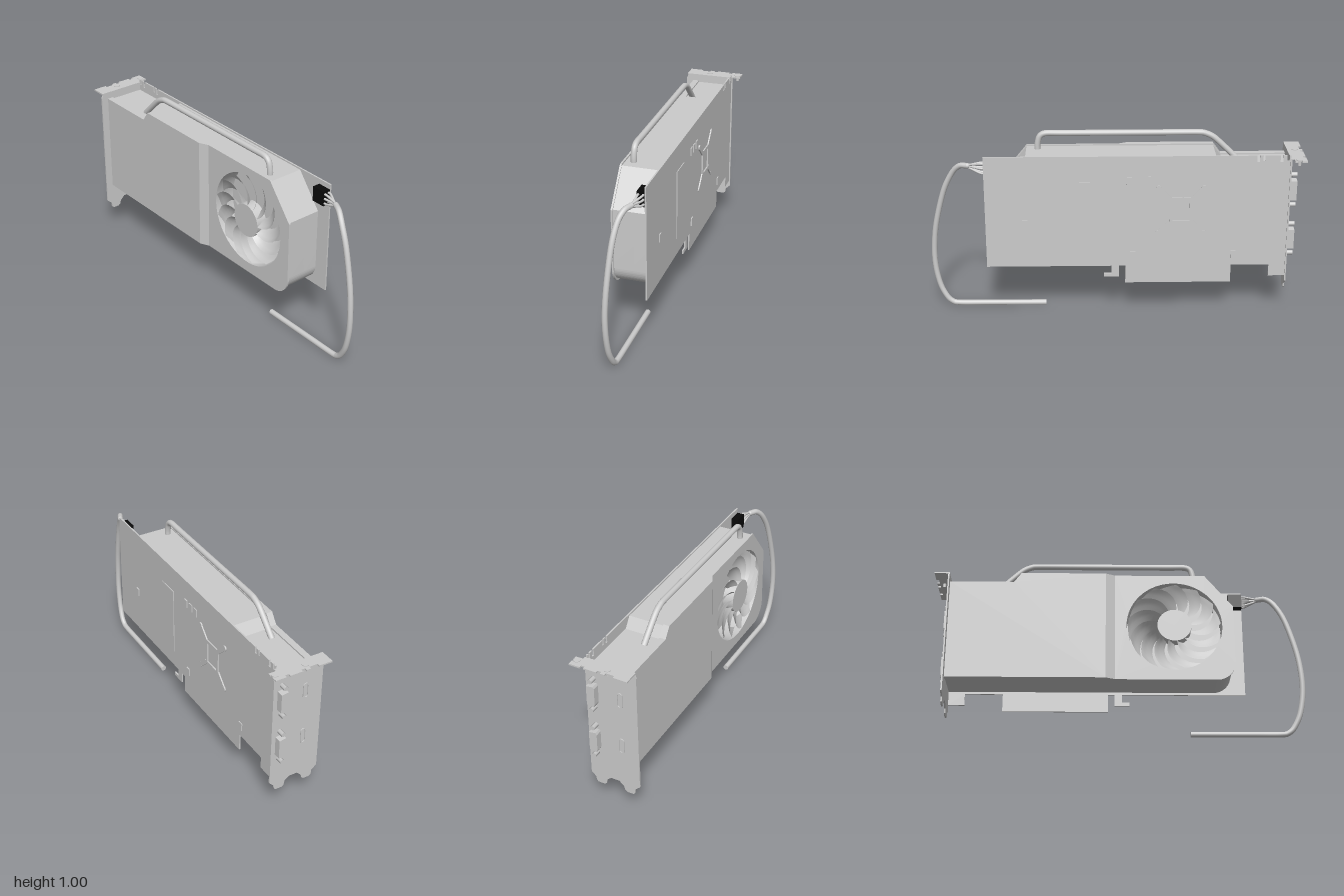
import * as THREE from 'three';
import { toCreasedNormals } from 'three/addons/utils/BufferGeometryUtils.js';

const GREY = new THREE.MeshStandardMaterial({ color: 0xcccccc });
const THIN = new THREE.MeshStandardMaterial({ color: 0xcccccc, side: THREE.DoubleSide });
const BLACK = new THREE.MeshStandardMaterial({ color: 0x0a0a0a });
const FAN = { y: 0.6, z: 0.3, r: 0.258 };

export function createModel() {
  const root = new THREE.Group();

  const add = (name, geometry, material = GREY, parent = root) => {
    const mesh = new THREE.Mesh(geometry, material);
    mesh.name = name;
    parent.add(mesh);
    return mesh;
  };
  const group = (name) => {
    const g = new THREE.Group();
    g.name = name;
    root.add(g);
    return g;
  };
  // box given by its limits
  const box = (x0, x1, y0, y1, z0, z1) =>
    new THREE.BoxGeometry(x1 - x0, y1 - y0, z1 - z0)
      .translate((x0 + x1) / 2, (y0 + y1) / 2, (z0 + z1) / 2);
  const polygon = (pts) => new THREE.Shape(pts.map(([a, b]) => new THREE.Vector2(a, b)));
  // shape drawn in (-z, y), extruded along x
  const extrudeX = (shape, x0, x1) =>
    toCreasedNormals(new THREE.ExtrudeGeometry(shape, { depth: x1 - x0, bevelEnabled: false, curveSegments: 40 })
      .rotateY(Math.PI / 2).translate(x0, 0, 0), 0.5);
  const zy = (pts) => polygon(pts.map(([z, y]) => [-z, y]));
  const tube = (pts, r, segments, tension = 0.5) =>
    new THREE.TubeGeometry(new THREE.CatmullRomCurve3(
      pts.map((p) => new THREE.Vector3(...p)), false, 'catmullrom', tension), segments, r, 14);
  const ball = (p, r) => new THREE.SphereGeometry(r, 14, 10).translate(...p);

  // outline of the fan end: cut upper corner, rounded lower corner
  const fanOutline = (zBack, inset, hole) => {
    const lo = 0.285 + inset, hi = 0.905 - inset, end = 0.62 - inset, s = new THREE.Shape();
    s.moveTo(-zBack, lo);
    s.lineTo(-(end - 0.1), lo);
    s.absarc(-(end - 0.1), lo + 0.1, 0.1, -Math.PI / 2, -Math.PI, true);
    s.lineTo(-end, 0.72);
    s.lineTo(-0.47, hi);
    s.lineTo(-zBack, hi);
    s.closePath();
    if (hole) s.holes.push(new THREE.Path().absarc(-FAN.z, FAN.y, FAN.r, 0, Math.PI * 2));
    return s;
  };
  // outline of the rear end with its lowered top
  const rearOutline = (zFront, inset) => zy([[-0.918, 0.285 + inset], [zFront, 0.285 + inset],
    [zFront, 0.905 - inset], [-0.53, 0.905 - inset], [-0.57, 0.85 - inset], [-0.918, 0.85 - inset]]);

  // cooler body, hollow behind the fan
  const cooler = group('cooler');
  add('rearBody', extrudeX(rearOutline(-0.02, 0.008), -0.09, 0.106), GREY, cooler);
  add('fanChamber', extrudeX(fanOutline(-0.02, 0.008, true), -0.088, 0.02), GREY, cooler);
  add('frontBody', extrudeX(fanOutline(-0.02, 0.008, false), 0.02, 0.106), GREY, cooler);

  // shroud cover: raised rear panel, slope, thin fan panel
  const cover = group('shroudCover');
  add('rearPanel', extrudeX(rearOutline(-0.07, 0), -0.12, -0.086), GREY, cover);
  add('fanPanel', extrudeX(fanOutline(-0.02, 0, true), -0.096, -0.086), GREY, cover);
  const slope = box(-0.12, -0.086, 0.285, 0.905, -0.07, -0.02).toNonIndexed();
  const sp = slope.attributes.position;
  for (let i = 0; i < sp.count; i++) {
    if (sp.getX(i) < -0.1 && sp.getZ(i) > -0.05) sp.setX(i, -0.096);
  }
  slope.computeVertexNormals();
  add('panelSlope', slope, GREY, cover);

  // fan
  const fan = group('fan');
  const hub = new THREE.CylinderGeometry(0.092, 0.092, 0.06, 40).rotateZ(Math.PI / 2);
  add('fanHub', hub.translate(-0.076, FAN.y, FAN.z), GREY, fan);
  const blade = new THREE.PlaneGeometry(1, 1, 8, 4);
  const bp = blade.attributes.position;
  for (let i = 0; i < bp.count; i++) {
    const t = bp.getX(i) + 0.5, v = bp.getY(i) + 0.5;
    const r = 0.085 + 0.165 * t;
    const a = 0.55 * t * t + v * (0.36 + 0.1 * t);
    bp.setXYZ(i, -0.106 + 0.05 * Math.pow(v, 0.8) + 0.008 * t * (1 - v), r * Math.sin(a), r * Math.cos(a));
  }
  blade.computeVertexNormals();
  const BLADES = 13;
  for (let i = 0; i < BLADES; i++) {
    const m = add('fanBlade', blade, THIN, fan);
    m.position.set(0, FAN.y, FAN.z);
    m.rotation.x = (i / BLADES) * Math.PI * 2;
  }

  // circuit board with edge connector and notched top
  const notch = (z, w, d) => [[z, 0.905], [z, 0.905 - d], [z - w, 0.905 - d], [z - w, 0.905]];
  add('circuitBoard', extrudeX(zy([
    [0.69, 0.28], [0.69, 0.905],
    ...notch(-0.743, 0.014, 0.035), ...notch(-0.775, 0.01, 0.03),
    ...notch(-0.865, 0.015, 0.035), ...notch(-0.9, 0.012, 0.03),
    [-0.92, 0.905], [-0.92, 0.215], [-0.83, 0.215], [-0.83, 0.28], [-0.625, 0.28], [-0.625, 0.18],
    [-0.055, 0.18], [-0.055, 0.28], [-0.02, 0.28], [-0.02, 0.215], [0.06, 0.215], [0.06, 0.235],
    [0.02, 0.235], [0.02, 0.28]]), 0.105, 0.113));

  // parts on the back of the board
  const details = group('boardDetails');
  for (const [z, y] of [[-0.075, 0.77], [-0.125, 0.77], [-0.175, 0.77], [0.48, 0.53], [-0.095, 0.34], [-0.635, 0.345]]) {
    add('chip', box(0.112, 0.119, y - 0.022, y + 0.022, z - 0.014, z + 0.014), GREY, details);
  }
  add('backPad', box(0.112, 0.117, 0.375, 0.765, 0.06, 0.19), GREY, details);

  // cross-shaped cooler mount
  const mount = group('coolerMount');
  mount.position.set(0.116, 0.6, -0.35);
  const ring = polygon([[-0.062, -0.075], [0.062, -0.075], [0.062, 0.075], [-0.062, 0.075]]);
  ring.holes.push(polygon([[-0.045, -0.058], [0.045, -0.058], [0.045, 0.058], [-0.045, 0.058]]));
  add('mountFrame', extrudeX(ring, -0.004, 0.004), GREY, mount);
  for (const sy of [-1, 1]) for (const sz of [-1, 1]) {
    const arm = add('mountArm', box(-0.004, 0.004, -0.012, 0.012, -0.045, 0.045), GREY, mount);
    arm.position.set(0, sy * 0.097, sz * 0.09);
    arm.rotation.x = -sy * sz * Math.PI / 4;
    const foot = new THREE.CylinderGeometry(0.015, 0.015, 0.009, 16).rotateZ(Math.PI / 2);
    add('mountFoot', foot.translate(0, sy * 0.127, sz * 0.12), GREY, mount);
  }

  // slot bracket
  const bracket = group('slotBracket');
  const plate = polygon([[-0.16, 0.19], [-0.132, 0.165], [-0.13, 0.14], [-0.12, 0.13], [-0.085, 0.13],
    [-0.073, 0.14], [-0.068, 0.16], [-0.042, 0.185], [0.005, 0.185], [0.03, 0.165], [0.034, 0.14], [0.045, 0.13],
    [0.082, 0.13], [0.092, 0.14], [0.094, 0.16], [0.12, 0.185], [0.12, 0.885], [-0.15, 0.885], [-0.16, 0.86]]);
  add('bracketPlate', new THREE.ExtrudeGeometry(plate, { depth: 0.008, bevelEnabled: false }).translate(0, 0, -0.926),
    GREY, bracket);
  // folded top flange, drawn in (x, -z)
  const flange = polygon([[-0.155, 0.918], [0.12, 0.918], [0.12, 0.935], [0.16, 0.935], [0.16, 0.95], [0.145, 0.95],
    [0.145, 0.97], [0.16, 0.97], [0.16, 1], [0.1, 1], [0.1, 0.985], [0.08, 0.985], [0.08, 1], [0.01, 1],
    [0.01, 0.985], [-0.01, 0.985], [-0.01, 1], [-0.035, 1], [-0.035, 0.985], [-0.08, 0.985], [-0.08, 1], [-0.155, 1]]);
  add('bracketFlange', new THREE.ExtrudeGeometry(flange, { depth: 0.008, bevelEnabled: false })
    .rotateX(-Math.PI / 2).translate(0, 0.881, 0), GREY, bracket);
  for (const x of [-0.028, 0.14]) {
    add('bracketScrew', new THREE.CylinderGeometry(0.017, 0.017, 0.006, 20).translate(x, 0.889, -0.96), GREY, bracket);
    add('screwShank', new THREE.CylinderGeometry(0.009, 0.009, 0.03, 16).translate(x, 0.875, -0.96), GREY, bracket);
  }

  // display sockets and their lock screws, slotted sockets beside them
  for (const y of [0.7, 0.42]) {
    const w = 0.022, h = 0.06;
    const face = polygon([[0.075 - w, y - h + 0.012], [0.075 - w, y + h - 0.012], [0.075 - w + 0.006, y + h],
      [0.075 + w, y + h - 0.006], [0.075 + w, y - h + 0.006], [0.075 - w + 0.006, y - h]]);
    add('displaySocket', new THREE.ExtrudeGeometry(face, { depth: 0.04, bevelEnabled: false }).translate(0, 0, -0.963),
      GREY, bracket);
    for (const s of [-1, 1]) {
      const nut = new THREE.CylinderGeometry(0.013, 0.013, 0.04, 6).rotateX(Math.PI / 2);
      add('lockScrew', nut.translate(0.075, y + s * 0.085, -0.943), GREY, bracket);
    }
    const capsule = (r, l) => {
      const s = new THREE.Shape();
      s.absarc(-0.065, y + l, r, 0, Math.PI);
      s.absarc(-0.065, y - l, r, Math.PI, Math.PI * 2);
      return s;
    };
    const frame = capsule(0.016, 0.03);
    frame.holes.push(capsule(0.01, 0.028));
    add('slotSocket', new THREE.ExtrudeGeometry(frame, { depth: 0.008, bevelEnabled: false }).translate(0, 0, -0.931),
      GREY, bracket);
  }

  // heat pipe over the top
  const px = -0.044;
  add('heatPipe', tube([[px, 0.86, 0.41], [px, 0.92, 0.41], [px, 0.965, 0.398], [px, 0.984, 0.365], [px, 0.984, 0.25],
    [px, 0.984, -0.2], [px, 0.984, -0.44], [px, 0.978, -0.485], [px, 0.955, -0.53], [px, 0.89, -0.6],
    [px, 0.84, -0.65]], 0.016, 120, 0.4));

  // power plug, wires and cable
  add('powerPlug', box(0.064, 0.106, 0.797, 0.878, 0.612, 0.688), BLACK);
  for (let i = 0; i < 6; i++) {
    const x = 0.072 + 0.024 * (i % 2), y = 0.812 + 0.025 * Math.floor(i / 2);
    add('plugWire', tube([[x, y, 0.68], [x, y, 0.705], [0.07, 0.84 + (y - 0.837) * 0.4, 0.76], [0.058, 0.842, 0.8]],
      0.006, 16));
  }
  const path = [[0.066, 0.843, 0.775], [0.045, 0.835, 0.82], [0.025, 0.785, 0.865], [0.012, 0.68, 0.915],
    [0.002, 0.5, 0.963], [-0.003, 0.36, 0.982], [-0.002, 0.24, 0.982], [0.002, 0.13, 0.962], [0.008, 0.06, 0.93],
    [0.01, 0.028, 0.9], [0.012, 0.018, 0.86], [0.013, 0.017, 0.7], [0.014, 0.016, 0.38]];
  add('powerCable', tube(path, 0.015, 120));
  add('cableCollar', ball(path[0], 0.015));
  add('cableEnd', new THREE.CircleGeometry(0.015, 14).translate(...path[path.length - 1]), THIN);
  return root;
}
